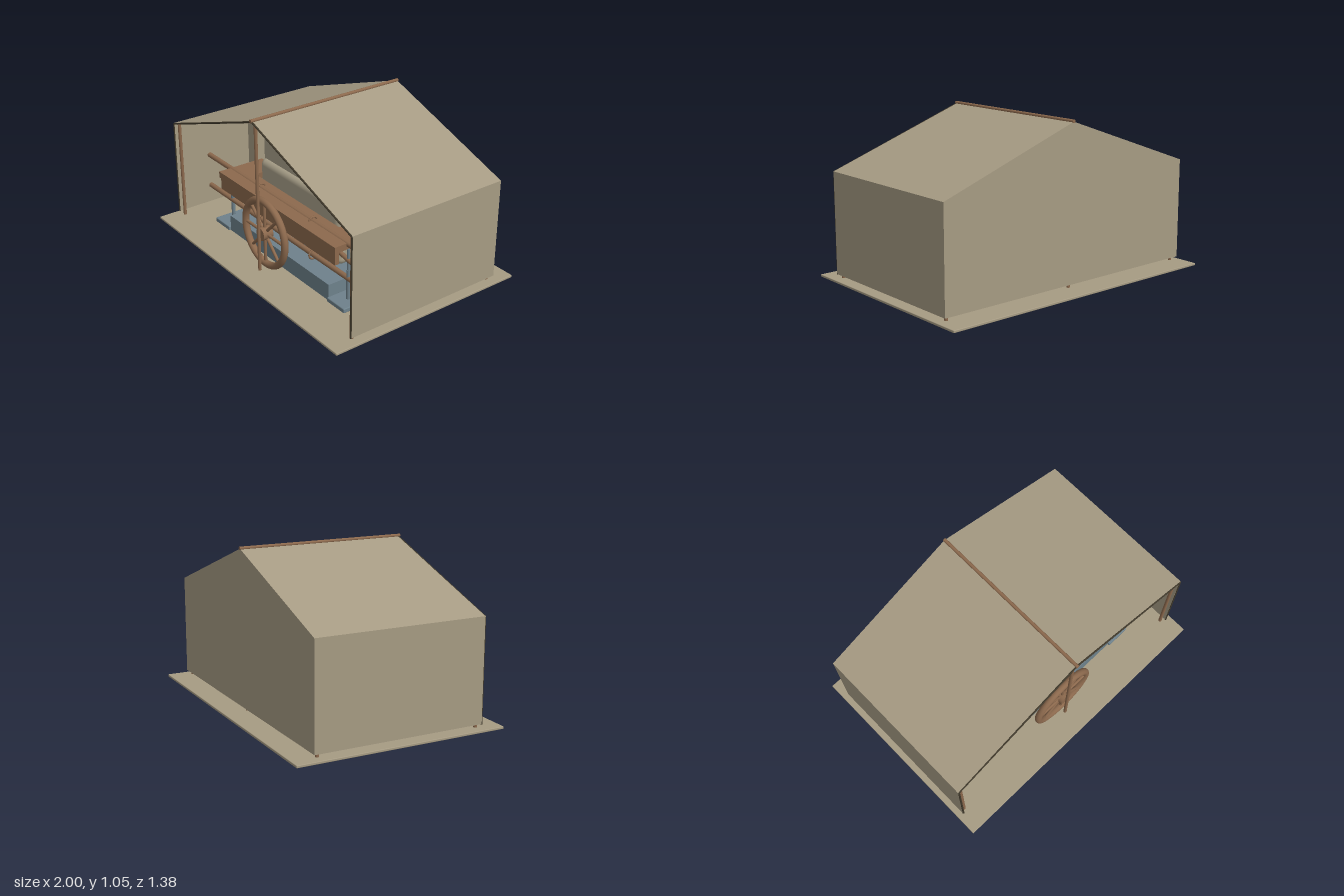
import * as THREE from 'three';
import { RoundedBoxGeometry } from 'three/addons/geometries/RoundedBoxGeometry.js';

const material = (name, color, side = THREE.FrontSide) => {
  const m = new THREE.MeshStandardMaterial({ color, side });
  m.name = name;
  return m;
};

export function createModel() {
  const canvas = material('canvas', 0xa69b83, THREE.DoubleSide);
  const cushion = material('padding', 0xaaa18a);
  const wood = material('wood', 0x8c694d);
  const steel = material('blue grey metal', 0x6e818b);
  const hem = material('dark hem', 0x40392b);
  const model = new THREE.Group();
  model.name = 'tentWithCart';

  const add = (name, geometry, mat, parent = model) => {
    const mesh = new THREE.Mesh(geometry, mat);
    mesh.name = name;
    parent.add(mesh);
    return mesh;
  };
  // Box given by its minimum and maximum corners, optionally rounded
  const box = (name, mat, a, b, r = 0) => {
    const s = a.map((v, i) => b[i] - v);
    const g = r ? new RoundedBoxGeometry(...s, 4, r) : new THREE.BoxGeometry(...s);
    return add(name, g.translate(...a.map((v, i) => (v + b[i]) / 2)), mat);
  };
  // Round bar between two points
  const bar = (name, mat, a, b, r, parent = model) => {
    const p = new THREE.Vector3(...a), q = new THREE.Vector3(...b);
    const d = q.clone().sub(p);
    const mesh = add(name, new THREE.CylinderGeometry(r, r, d.length(), 14), mat, parent);
    mesh.position.copy(p).add(q).multiplyScalar(0.5);
    mesh.quaternion.setFromUnitVectors(new THREE.Vector3(0, 1, 0), d.normalize());
    return mesh;
  };

  // Ground sheet
  box('groundSheet', canvas, [-1, 0.004, -0.69], [1, 0.02, 0.69], 0.004);

  // Tent walls and roof: a thin gabled band, open at the front
  const outline = [[-0.962, 0.045], [-0.962, 0.7], [0, 1.04], [0.962, 0.7], [0.962, 0.045]];
  const inner = [[0.95, 0.045], [0.95, 0.692], [0, 1.028], [-0.95, 0.692], [-0.95, 0.045]];
  const toShape = (pts) => new THREE.Shape(pts.map((p) => new THREE.Vector2(...p)));
  const extrude = (pts, depth, z) => new THREE.ExtrudeGeometry(toShape(pts), { depth, bevelEnabled: false }).translate(0, 0, z);
  add('tentWallsAndRoof', extrude([...outline, ...inner], 1.11, -0.555), canvas);
  add('tentBackWall', extrude(outline, 0.01, -0.562), canvas);
  // Dark hem around the front opening
  for (let i = 0; i < 4; i++) {
    const at = ([x, y]) => [x * 0.994, y - 0.004, 0.555];
    bar('frontHem', hem, at(outline[i]), at(outline[i + 1]), 0.006);
  }

  // Tent poles
  for (const z of [-0.53, 0.53]) {
    bar('centrePole', wood, [0, 0.02, z], [0, 1.03, z], 0.011);
    for (const s of [-1, 1]) bar('cornerPole', wood, [s * 0.93, 0.02, z], [s * 0.93, 0.695, z], 0.011);
  }
  bar('ridgePole', wood, [0, 1.042, -0.565], [0, 1.042, 0.565], 0.011);

  // Inner screen on three sides
  box('screenBack', canvas, [-0.745, 0.02, -0.48], [0.745, 0.725, -0.41]);
  for (const s of [-1, 1]) {
    box('screenSide', canvas, [s * 0.71 - 0.035, 0.02, -0.405], [s * 0.71 + 0.035, 0.725, 0.11]);
  }

  // Metal base with the padded bales on it
  box('base', steel, [-0.545, 0.02, -0.4], [0.545, 0.13, 0.4]);
  box('lowerBale', cushion, [-0.425, 0.13, -0.37], [0.425, 0.56, 0.235], 0.045);
  box('upperBale', cushion, [-0.435, 0.135, -0.38], [0.432, 0.865, 0.205], 0.045);

  // Counter around the bales
  box('counterFront', wood, [-0.63, 0.388, 0.25], [0.63, 0.43, 0.42]);
  box('counterApron', wood, [-0.622, 0.305, 0.385], [0.622, 0.388, 0.412]);
  for (const s of [-1, 1]) {
    box('counterSide', wood, [s * 0.54 - 0.09, 0.388, 0.08], [s * 0.54 + 0.09, 0.43, 0.25]);
    box('foot', steel, [s * 0.628 - 0.083, 0.02, 0.11], [s * 0.628 + 0.083, 0.05, 0.415], 0.006);
    bar('legLower', steel, [s * 0.632, 0.05, 0.32], [s * 0.632, 0.25, 0.32], 0.013);
    bar('legUpper', steel, [s * 0.632, 0.25, 0.32], [s * 0.632, 0.39, 0.32], 0.009);
  }

  // Long cart rails with lashings
  for (const y of [0.42, 0.19]) {
    bar('rail', wood, [-0.915, y, 0.32], [0.915, y, 0.32], 0.017);
    for (const x of [-0.28, 0.28]) {
      const ring = add('lashing', new THREE.TorusGeometry(0.03, 0.006, 8, 20), wood);
      ring.rotation.y = Math.PI / 2;
      ring.position.set(x, y, 0.32);
    }
  }
  bar('slantedRail', wood, [0.5, 0.338, 0.32], [0.93, 0.26, 0.32], 0.015);

  // Spoked wheel
  const wheel = new THREE.Group();
  wheel.name = 'wheel';
  wheel.position.set(0, 0.27, 0.485);
  model.add(wheel);
  add('wheelRim', new THREE.TorusGeometry(0.216, 0.023, 12, 48), wood, wheel);
  add('wheelHub', new THREE.CylinderGeometry(0.043, 0.043, 0.07, 20).rotateX(Math.PI / 2), wood, wheel);
  for (let i = 0; i < 8; i++) {
    const a = (i * Math.PI) / 4;
    bar('wheelSpoke', wood, [0, 0, 0], [0.21 * Math.cos(a), 0.21 * Math.sin(a), 0], 0.01, wheel);
  }
  return model;
}
